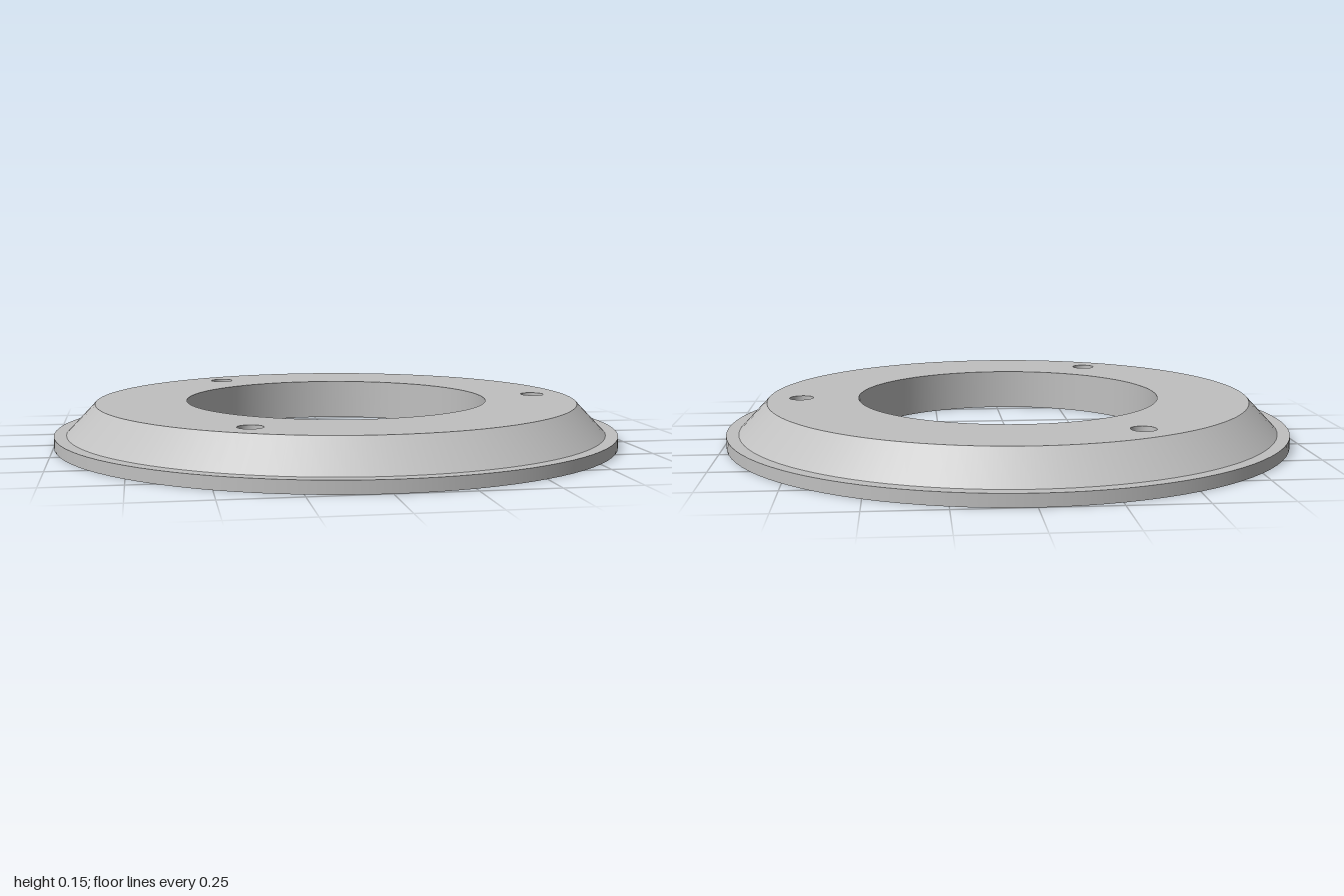
import * as THREE from 'three';

const SEG = 96;
const BORE = 0.537, TOP_R = 0.857, SHOULDER_R = 0.957, RIM_R = 1;
const RIM_H = 0.042, TOP_H = 0.146;
const HOLE_R = 0.042, HOLE_PITCH = 0.74, HOLES = 3;

export function createModel() {
  const group = new THREE.Group();
  const grey = new THREE.MeshStandardMaterial({ color: 0xc0c0c0 });
  grey.name = 'light grey';

  const add = (name, geometry) => {
    const mesh = new THREE.Mesh(geometry, grey);
    mesh.name = name;
    group.add(mesh);
    return mesh;
  };

  // Revolved band between two profile points; rising faces outward, falling faces inward
  const band = (name, r0, y0, r1, y1) => add(name, new THREE.LatheGeometry(
    [new THREE.Vector2(r0, y0), new THREE.Vector2(r1, y1)], SEG));

  const holeCentres = Array.from({ length: HOLES }, (_, i) => {
    const a = (i * Math.PI * 2) / HOLES;
    return [HOLE_PITCH * Math.cos(a), HOLE_PITCH * Math.sin(a)];
  });

  // Flat ring pierced by the bore and the screw holes
  const plate = (radius) => {
    const shape = new THREE.Shape().absarc(0, 0, radius, 0, Math.PI * 2, false);
    const cut = (x, y, r) => shape.holes.push(new THREE.Path().absarc(x, y, r, 0, Math.PI * 2, true));
    cut(0, 0, BORE);
    holeCentres.forEach(([x, y]) => cut(x, y, HOLE_R));
    return new THREE.ShapeGeometry(shape, SEG);
  };

  add('topFace', plate(TOP_R).rotateX(-Math.PI / 2).translate(0, TOP_H, 0));
  add('bottomFace', plate(RIM_R).rotateX(Math.PI / 2));

  // Outer rim, narrow ledge, sloped shoulder and central bore
  band('rimEdge', RIM_R, 0, RIM_R, RIM_H);
  band('rimLedge', RIM_R, RIM_H, SHOULDER_R, RIM_H);
  band('slopedShoulder', SHOULDER_R, RIM_H, TOP_R, TOP_H);
  band('boreWall', BORE, TOP_H, BORE, 0);

  // Walls of the screw holes
  holeCentres.forEach(([x, z], i) => {
    band('screwHoleWall' + (i + 1), HOLE_R, TOP_H, HOLE_R, 0).position.set(x, 0, z);
  });

  return group;
}
